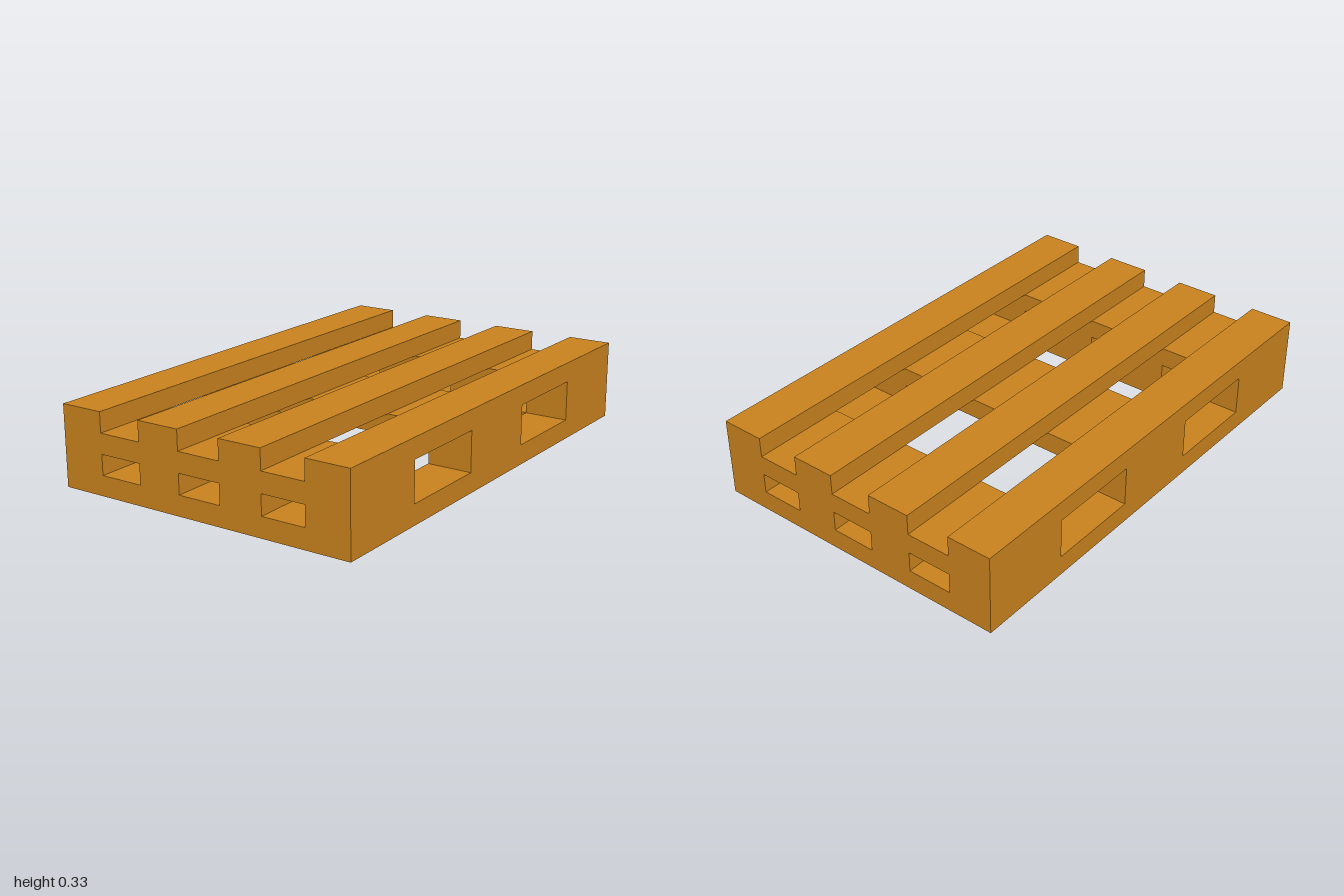
import * as THREE from 'three';

const U = 1.31 / 7;        // slat width, equal to the gap between slats
const T = 1 / 12;          // thickness of each of the four layers
const BAND = 0.4;          // depth of cross boards and of the gaps between them
const W = 7 * U, L = 2;

export function createModel() {
  const group = new THREE.Group();
  group.name = 'pallet';
  const wood = new THREE.MeshStandardMaterial({ color: 0xc8821e });

  const board = (name, w, d, x, layer, z) => {
    const mesh = new THREE.Mesh(new THREE.BoxGeometry(w, T, d), wood);
    mesh.position.set(x, (layer + 0.5) * T, z);
    mesh.name = name;
    group.add(mesh);
  };

  const slatXs = [-3, -1, 1, 3].map((i) => i * U);
  const bandZs = [-2, 0, 2].map((i) => i * BAND);

  // Base frame: one rectangular ring, open in the middle
  const rect = (path, w, d) => {
    path.moveTo(-w / 2, -d / 2);
    path.lineTo(w / 2, -d / 2);
    path.lineTo(w / 2, d / 2);
    path.lineTo(-w / 2, d / 2);
    path.closePath();
    return path;
  };
  const outline = rect(new THREE.Shape(), W, L);
  outline.holes.push(rect(new THREE.Path(), 5 * U, 3 * BAND));
  const frameGeometry = new THREE.ExtrudeGeometry(outline, { depth: T, bevelEnabled: false });
  frameGeometry.rotateX(-Math.PI / 2);
  const frame = new THREE.Mesh(frameGeometry, wood);
  frame.name = 'baseFrame';
  group.add(frame);

  // Spacer blocks: four at each end, only the outer two in the middle
  for (const z of bandZs) {
    for (const x of slatXs) {
      if (z === 0 && Math.abs(x) < 2 * U) continue;
      board('spacerBlock', U, BAND, x, 1, z);
    }
  }

  // Cross boards, then the lengthwise top slats
  for (const z of bandZs) board('crossBoard', W, BAND, 0, 2, z);
  for (const x of slatXs) board('topSlat', U, L, x, 3, 0);

  return group;
}
